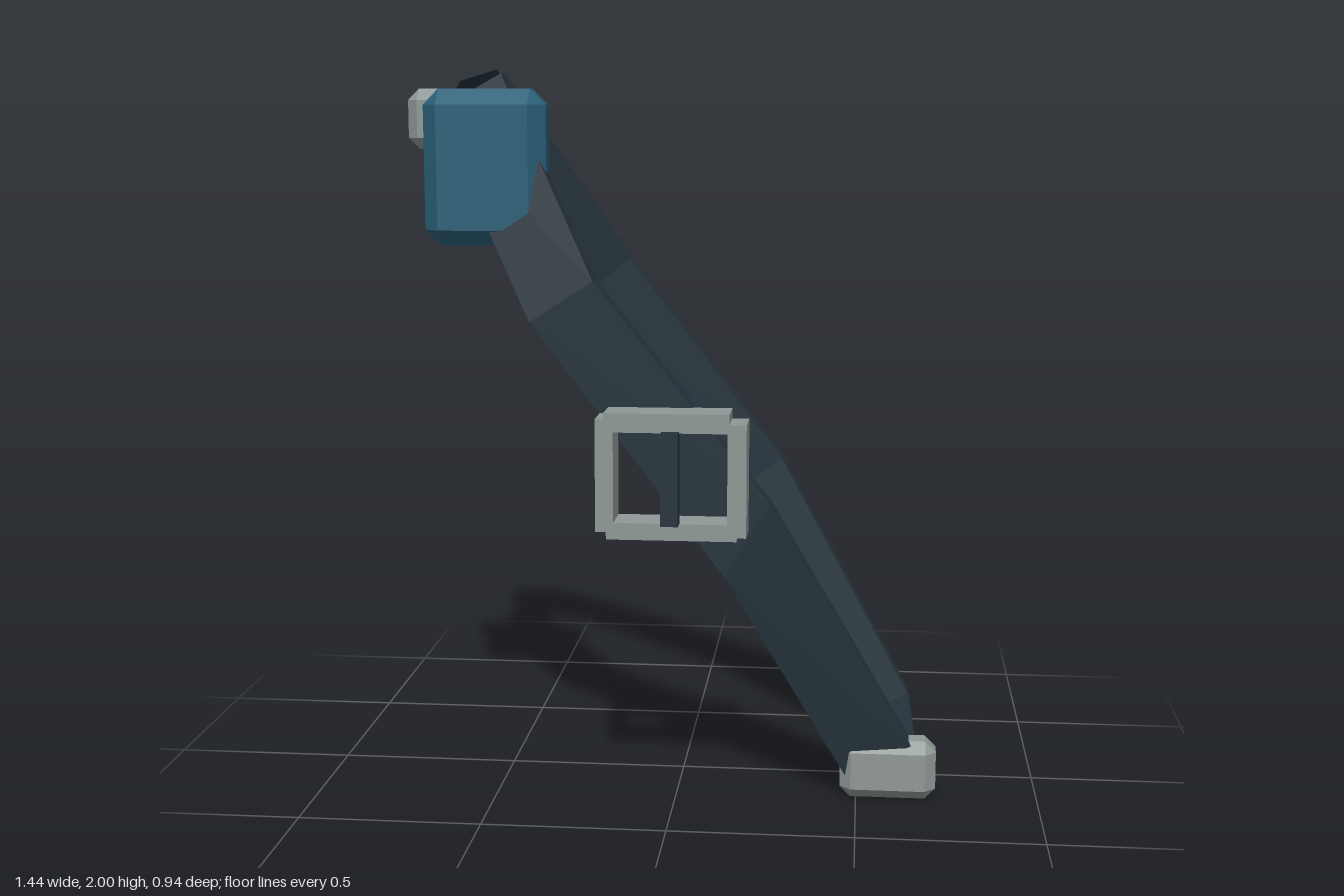
import * as THREE from 'three';
import { ConvexGeometry } from 'three/addons/geometries/ConvexGeometry.js';

const paint = (color) => new THREE.MeshStandardMaterial({ color, flatShading: true });

// Closed solid through four-cornered sections, corners counter-clockwise along the travel
function loft(sections) {
  const pos = [];
  const quad = (a, b, c, d) => pos.push(...a, ...b, ...c, ...a, ...c, ...d);
  for (let i = 0; i < sections.length - 1; i++) {
    const s = sections[i], t = sections[i + 1];
    for (let k = 0; k < 4; k++) quad(s[k], t[k], t[(k + 1) % 4], s[(k + 1) % 4]);
  }
  quad(...sections[0]);
  quad(...[...sections[sections.length - 1]].reverse());
  const geo = new THREE.BufferGeometry();
  geo.setAttribute('position', new THREE.Float32BufferAttribute(pos, 3));
  geo.computeVertexNormals();
  return geo;
}

// Band section from two edge points and the z of its two faces
const band = ([x0, y0], [x1, y1], zOut, zIn) => [
  [x0, y0, zOut], [x1, y1, zOut], [x1, y1, zIn], [x0, y0, zIn],
];

// Box with every edge chamfered, given by its bounds
function chamferBox([x0, x1], [y0, y1], [z0, z1], c) {
  const h = [(x1 - x0) / 2, (y1 - y0) / 2, (z1 - z0) / 2];
  const pts = [];
  for (let axis = 0; axis < 3; axis++)
    for (const sx of [-1, 1]) for (const sy of [-1, 1]) for (const sz of [-1, 1]) {
      const p = [sx, sy, sz].map((s, i) => s * (i === axis ? h[i] : h[i] - c));
      pts.push(new THREE.Vector3(...p));
    }
  return new ConvexGeometry(pts).translate((x0 + x1) / 2, (y0 + y1) / 2, (z0 + z1) / 2);
}

function bar([x0, x1], [y0, y1], [z0, z1]) {
  return new THREE.BoxGeometry(x1 - x0, y1 - y0, z1 - z0)
    .translate((x0 + x1) / 2, (y0 + y1) / 2, (z0 + z1) / 2);
}

export function createModel() {
  const group = new THREE.Group();
  const leather = paint(0x25333c), blue = paint(0x2a5f78), metal = paint(0x8f9896);
  const add = (name, geo, mat, parent = group) => {
    const mesh = new THREE.Mesh(geo, mat);
    mesh.name = name;
    parent.add(mesh);
  };

  // Diagonal strap across the front, top to bottom
  add('frontStrap', loft([
    band([-0.65, 1.89], [-0.47, 1.99], 0.2, 0.13),
    band([-0.38, 1.34], [-0.21, 1.45], 0.328, 0.257),
    band([0.14, 0.66], [0.26, 0.86], 0.328, 0.257),
    band([0.47, 0.07], [0.65, 0.16], 0.21, 0.14),
  ]), leather);

  // Matching strap across the back
  add('backStrap', loft([
    band([-0.55, 1.985], [-0.71, 1.83], -0.345, -0.275),
    band([-0.2, 1.45], [-0.36, 1.33], -0.467, -0.4),
    band([0.26, 0.85], [0.1, 0.72], -0.467, -0.4),
    band([0.65, 0.16], [0.48, 0.06], -0.345, -0.275),
  ]), leather);

  // Twisted strap over the shoulder, front to back
  add('shoulderStrap', loft([
    [[-0.64, 1.89, 0.12], [-0.46, 1.95, 0.14], [-0.48, 2.0, 0.2], [-0.58, 1.97, 0.2]],
    [[-0.66, 1.88, -0.28], [-0.58, 1.83, -0.28], [-0.63, 1.99, -0.34], [-0.69, 1.985, -0.34]],
  ]), leather);

  // Flat strap under the hip, front to back
  add('hipStrap', loft([
    [[0.5, 0.025, 0.13], [0.67, 0.09, 0.13], [0.67, 0.12, 0.13], [0.5, 0.055, 0.13]],
    [[0.48, 0.06, -0.34], [0.65, 0.13, -0.34], [0.65, 0.16, -0.34], [0.48, 0.09, -0.34]],
  ]), leather);

  // Shoulder pouch and the two end clasps
  add('shoulderPouch', chamferBox([-0.675, -0.345], [1.535, 1.95], [0.145, 0.277], 0.042), blue);
  add('shoulderClasp', chamferBox([-0.725, -0.46], [1.79, 1.95], [0.11, 0.22], 0.03), metal);
  add('hipClasp', chamferBox([0.455, 0.72], [0.005, 0.17], [0.11, 0.225], 0.03), metal);

  // Buckle frame of four slightly offset bars, with its prong
  const buckle = new THREE.Group();
  buckle.name = 'buckle';
  group.add(buckle);
  const depth = [0.32, 0.432];
  add('buckleLeftBar', bar([0.155, 0.205], [0.79, 1.09], depth), metal, buckle);
  add('buckleRightBar', bar([-0.193, -0.145], [0.8, 1.1], depth), metal, buckle);
  add('buckleTopBar', bar([-0.17, 0.16], [1.066, 1.117], depth), metal, buckle);
  add('buckleBottomBar', bar([-0.165, 0.18], [0.78, 0.825], depth), metal, buckle);
  add('bucklePin', bar([-0.017, 0.029], [0.825, 1.07], [0.427, 0.468]), leather, buckle);

  return group;
}
